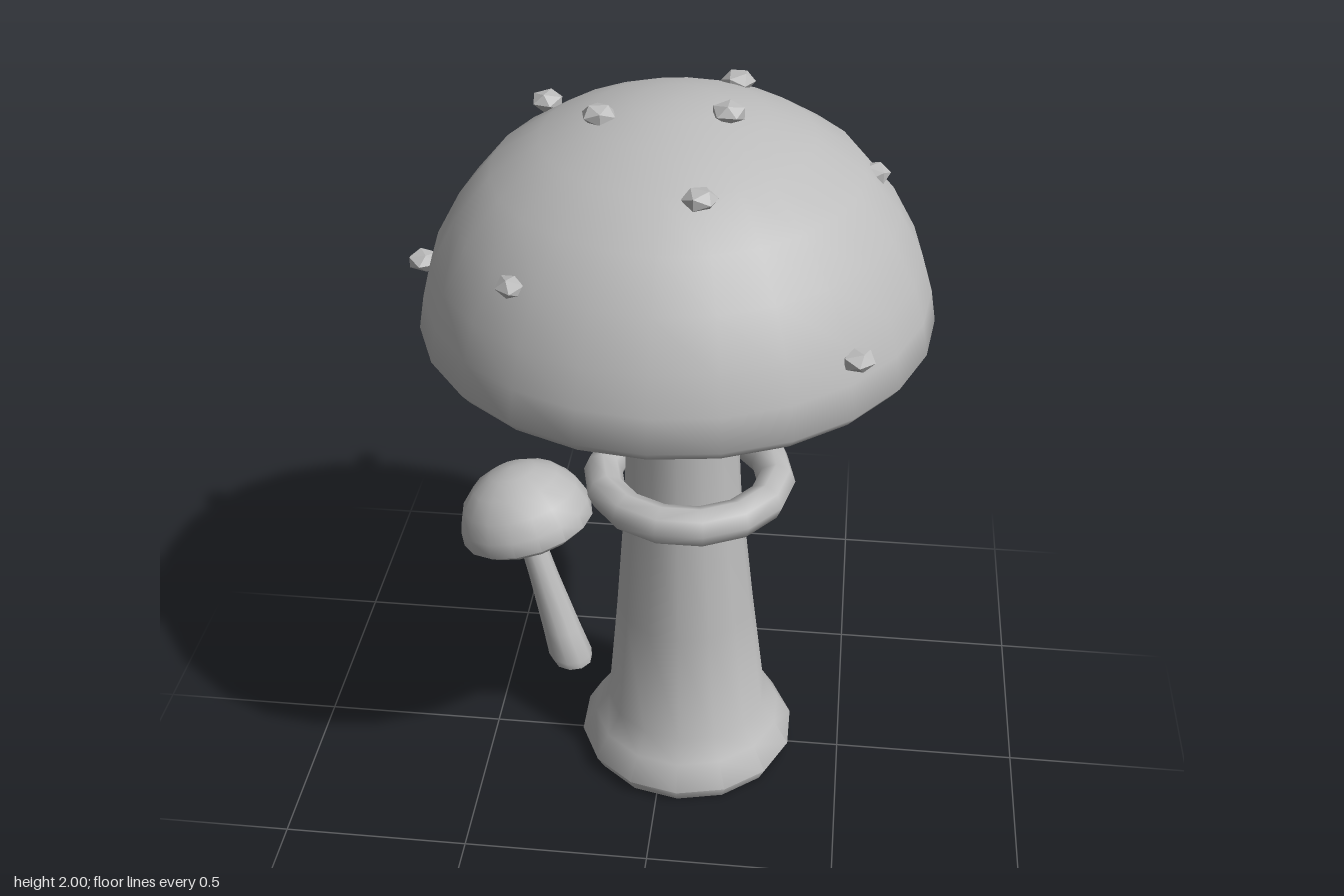
import * as THREE from 'three';
import { toCreasedNormals } from 'three/addons/utils/BufferGeometryUtils.js';

const grey = new THREE.MeshStandardMaterial({ color: 0xbcbcbc });
grey.name = 'plain grey';

// Lathe from a profile, bottom to top; sharp only at strong bends
function turned(name, profile, sides, bend) {
  const geo = new THREE.LatheGeometry(profile.map(([r, y]) => new THREE.Vector2(r, y)), sides);
  const p = geo.attributes.position;
  if (bend) {
    for (let i = 0; i < p.count; i++) {
      const [dx, dz] = bend(p.getY(i));
      p.setX(i, p.getX(i) + dx);
      p.setZ(i, p.getZ(i) + dz);
    }
  }
  const mesh = new THREE.Mesh(toCreasedNormals(geo, 1.0), grey);
  mesh.name = name;
  return mesh;
}

export function createModel() {
  const group = new THREE.Group();
  group.name = 'mushrooms';

  // Large mushroom: stem leans slightly as it rises
  group.add(turned('stem', [
    [0, 0], [0.285, 0], [0.305, 0.04], [0.265, 0.11], [0.225, 0.17],
    [0.19, 0.5], [0.157, 0.86], [0.145, 1.15], [0.14, 1.4],
  ], 14, (y) => [0.06 - 0.018 * y, -0.018 + 0.008 * y]));

  const ring = new THREE.Mesh(new THREE.TorusGeometry(0.23, 0.052, 8, 14), grey);
  ring.name = 'stemRing';
  ring.rotation.x = Math.PI / 2;
  ring.position.set(0.06, 0.92, -0.01);
  group.add(ring);

  const cap = turned('cap', [
    [0, 1.375], [0.3, 1.375], [0.55, 1.385], [0.64, 1.41], [0.662, 1.437],
    [0.647, 1.52], [0.618, 1.61], [0.555, 1.72], [0.465, 1.822],
    [0.34, 1.9], [0.22, 1.95], [0.11, 1.977], [0, 1.985],
  ], 24);
  cap.scale.x = 0.96;
  cap.position.x = 0.028;
  group.add(cap);

  // Faceted warts scattered over the cap
  const wartGeo = new THREE.IcosahedronGeometry(0.043, 0);
  const warts = [
    [-0.03, 1.635, -0.62], [-0.32, 1.87, -0.23], [0.15, 1.935, -0.25],
    [0.49, 1.78, -0.09], [-0.61, 1.525, -0.01], [-0.15, 1.965, 0.06],
    [0.15, 1.98, 0.05], [0.11, 1.895, 0.33], [-0.295, 1.71, 0.43], [0.475, 1.57, 0.43],
  ];
  warts.forEach(([x, y, z], i) => {
    const wart = new THREE.Mesh(wartGeo, grey);
    wart.name = 'wart' + (i + 1);
    wart.position.set(x, y, z);
    wart.scale.y = 0.62;
    wart.rotation.y = i * 1.3;
    group.add(wart);
  });

  // Small leaning mushroom behind
  const smallStem = turned('smallStem', [
    [0, 0], [0.06, 0], [0.066, 0.025], [0.057, 0.12], [0.044, 0.3], [0.037, 0.47],
  ], 10, (y) => [-0.28 * y, -0.09 * y]);
  smallStem.position.set(-0.325, 0, -0.3);
  group.add(smallStem);

  const smallCap = turned('smallCap', [
    [0, -0.015], [0.1, -0.025], [0.17, -0.022], [0.2, 0], [0.197, 0.045],
    [0.175, 0.1], [0.13, 0.15], [0.07, 0.182], [0, 0.195],
  ], 16);
  smallCap.position.set(-0.455, 0.462, -0.36);
  smallCap.rotation.set(-0.1, 0, 0.24);
  group.add(smallCap);

  return group;
}
